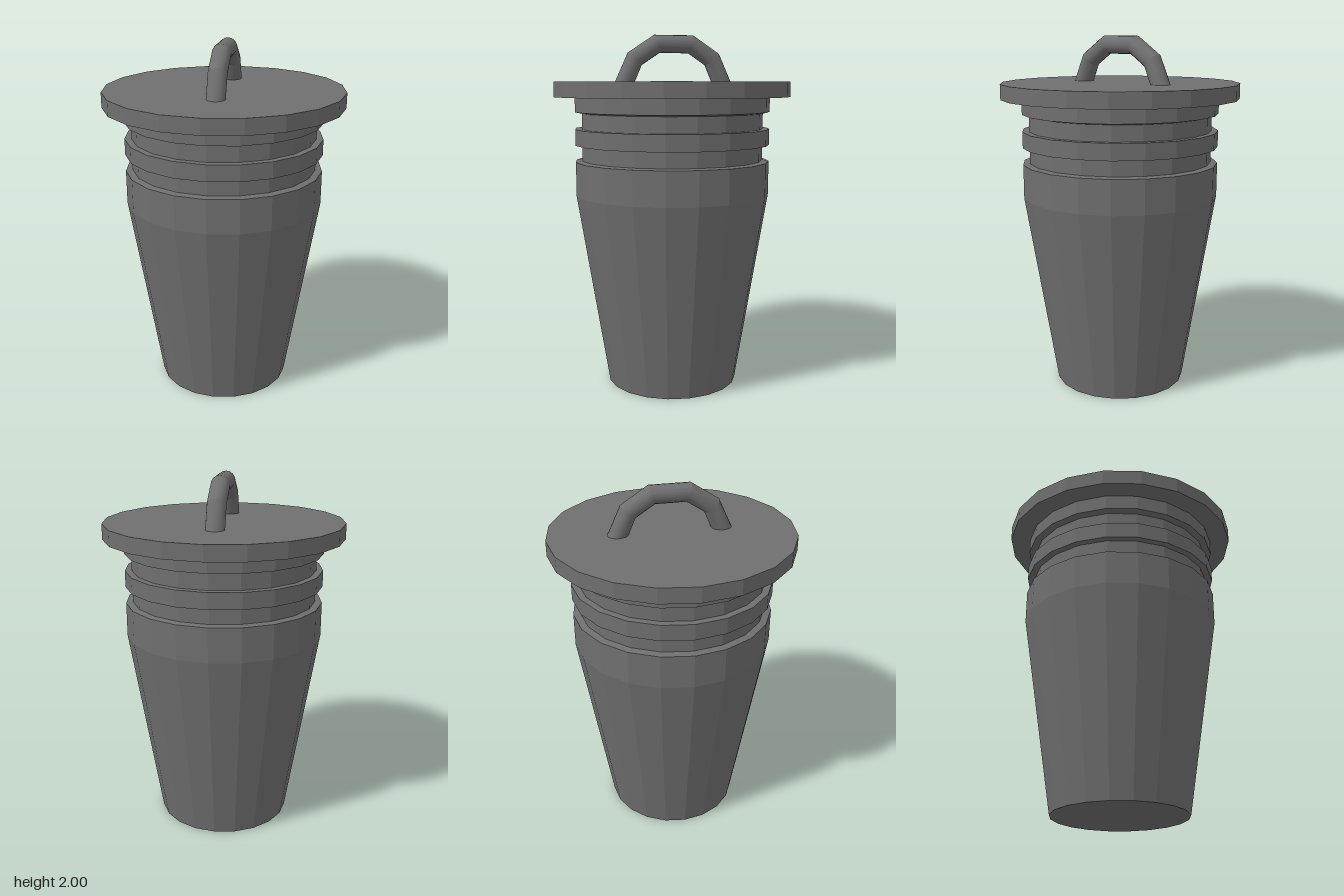
import * as THREE from 'three';
import { toCreasedNormals } from 'three/addons/utils/BufferGeometryUtils.js';

const SIDES = 20;
const COLOR = 0x6f6f6f;

export function createModel() {
  const group = new THREE.Group();
  const faceted = new THREE.MeshStandardMaterial({ color: COLOR, flatShading: true });
  const smooth = new THREE.MeshStandardMaterial({ color: COLOR });

  const add = (name, geometry, material) => {
    const mesh = new THREE.Mesh(geometry, material);
    mesh.name = name;
    group.add(mesh);
    return mesh;
  };

  // Tapered bin with two grooves below the lid
  const R = 0.553, G = 0.515;
  const profile = [
    [0, 0], [0.375, 0], [R, 1.105], [R, 1.295], [G, 1.301],
    [G, 1.388], [R, 1.388], [R, 1.478], [G, 1.478],
    [G, 1.565], [R, 1.573], [R, 1.657], [0, 1.657],
  ].map(([r, y]) => new THREE.Vector2(r, y));
  add('body', new THREE.LatheGeometry(profile, SIDES), faceted);

  // Flat overhanging lid
  const lid = add('lid', new THREE.CylinderGeometry(0.667, 0.667, 0.085, SIDES), faceted);
  lid.position.y = 1.6985;

  // Handle: round bar bent in straight segments, its ends sunk into the lid
  const half = [[0.3, 1.695], [0.224, 1.865], [0.098, 1.948]];
  const points = [...half, ...half.map(([z, y]) => [-z, y]).reverse()]
    .map(([z, y]) => new THREE.Vector3(0, y, z));
  const last = points.length - 1;
  const path = new THREE.Curve();
  path.getPointAt = (u) => points[Math.round(u * last)].clone();
  path.getTangentAt = (u) => {
    const i = Math.round(u * last);
    const dir = (a) => points[a + 1].clone().sub(points[a]).normalize();
    return dir(Math.max(i - 1, 0)).add(dir(Math.min(i, last - 1))).normalize();
  };
  const bar = new THREE.TubeGeometry(path, last, 0.052, 16);
  const handle = add('handle', toCreasedNormals(bar, 0.45), smooth);
  handle.position.set(0.003, 0, -0.009);

  return group;
}
